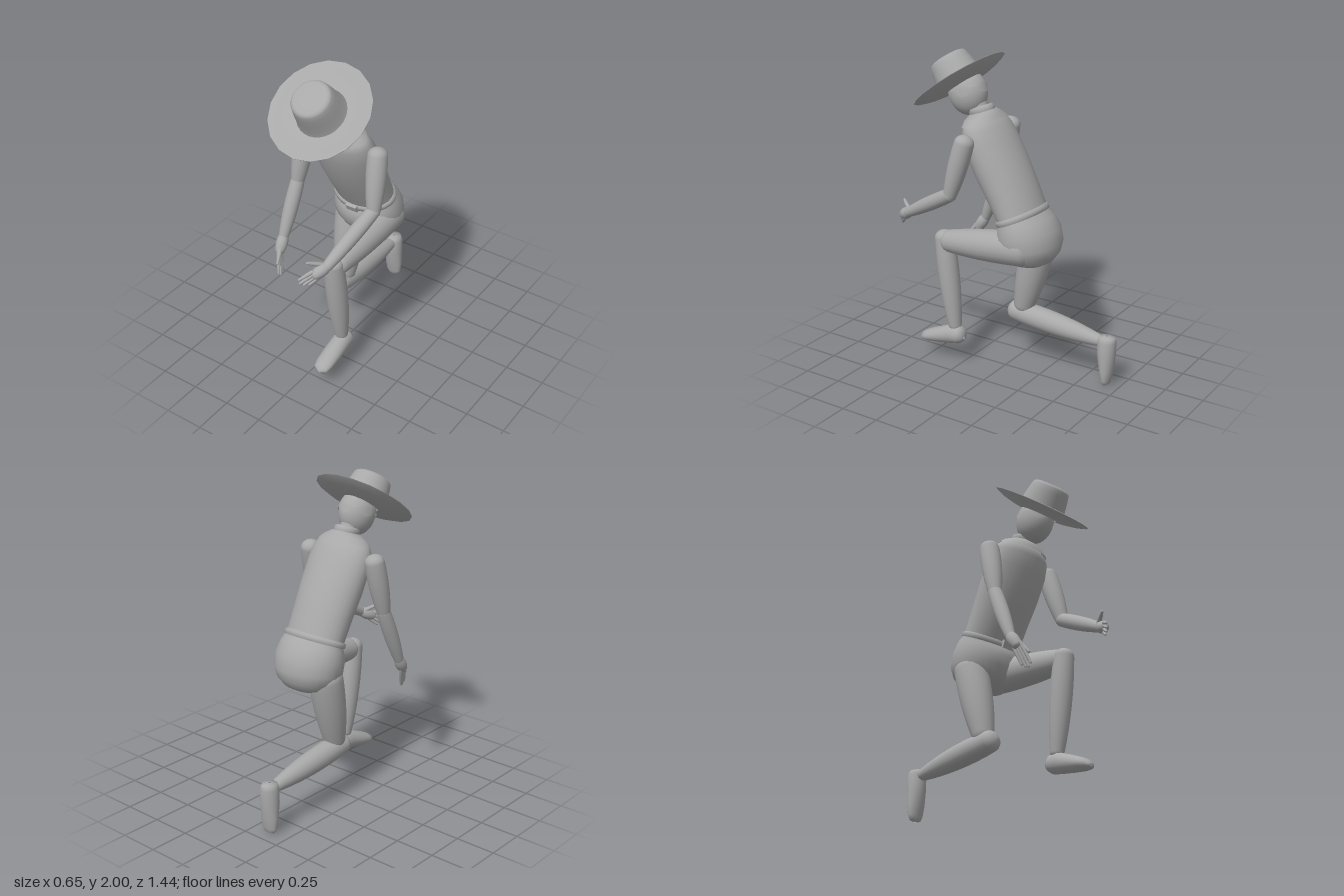
import * as THREE from 'three';

const grey = new THREE.MeshStandardMaterial({ color: 0xa8a8a8, side: THREE.DoubleSide });
grey.name = 'plain grey';
const V = (p) => new THREE.Vector3(...p);

export function createModel() {
  const model = new THREE.Group();

  function add(name, geometry, parent = model) {
    const mesh = new THREE.Mesh(geometry, grey);
    mesh.name = name;
    parent.add(mesh);
    return mesh;
  }

  // Skin over elliptical sections: [front z, front y, back z, back y, half width]
  function loft(name, sections, cx = 0, parent = model, n = 28) {
    const pos = [], index = [];
    for (const [fz, fy, bz, by, rx] of sections) {
      for (let i = 0; i < n; i++) {
        const a = (i / n) * Math.PI * 2, s = Math.sin(a);
        pos.push(cx + Math.cos(a) * rx, (fy + by) / 2 + s * (fy - by) / 2, (fz + bz) / 2 + s * (fz - bz) / 2);
      }
    }
    const A = sections[0], B = sections[sections.length - 1];
    const py = B[1] + B[3] - A[1] - A[3], pz = B[0] + B[2] - A[0] - A[2];
    const flip = py * (A[0] - A[2]) - pz * (A[1] - A[3]) < 0;
    for (let j = 0; j < sections.length - 1; j++) {
      for (let i = 0; i < n; i++) {
        const a = j * n + i, b = j * n + (i + 1) % n, c = a + n, d = b + n;
        if (flip) index.push(a, b, c, b, d, c);
        else index.push(a, c, b, b, c, d);
      }
    }
    const g = new THREE.BufferGeometry();
    g.setAttribute('position', new THREE.Float32BufferAttribute(pos, 3));
    g.setIndex(index);
    g.computeVertexNormals();
    return add(name, g, parent);
  }

  // Rounded, tapering segment from a to b with start, middle and end radius
  function limb(name, a, b, r0, rm, r1, parent = model, sides = 20) {
    const from = V(a), dir = V(b).sub(from), len = dir.length();
    const pts = [];
    for (let i = 0; i <= 5; i++) {
      const t = (i / 5) * Math.PI / 2;
      pts.push(new THREE.Vector2(Math.sin(t) * r0, -Math.cos(t) * r0 * 0.8));
    }
    for (let i = 1; i < 8; i++) {
      const t = i / 8;
      const r = r0 * (1 - t) * (1 - 2 * t) + rm * 4 * t * (1 - t) + r1 * t * (2 * t - 1);
      pts.push(new THREE.Vector2(r, t * len));
    }
    for (let i = 5; i >= 0; i--) {
      const t = (i / 5) * Math.PI / 2;
      pts.push(new THREE.Vector2(Math.sin(t) * r1, len + Math.cos(t) * r1 * 0.8));
    }
    const mesh = add(name, new THREE.LatheGeometry(pts, sides), parent);
    mesh.position.copy(from);
    mesh.quaternion.setFromUnitVectors(new THREE.Vector3(0, 1, 0), dir.normalize());
    return mesh;
  }

  // Torso, leaning forward
  loft('torso', [
    [-0.005, 0.985, -0.245, 1.09, 0.198], [0.085, 1.13, -0.185, 1.235, 0.2],
    [0.17, 1.28, -0.11, 1.38, 0.21], [0.228, 1.42, -0.028, 1.515, 0.214],
    [0.252, 1.51, 0.015, 1.575, 0.203], [0.25, 1.55, 0.045, 1.61, 0.18],
    [0.235, 1.585, 0.095, 1.645, 0.12], [0.19, 1.61, 0.13, 1.645, 0.05],
  ]);
  // Pelvis with a rounded seat
  loft('pelvis', [
    [-0.005, 0.99, -0.245, 1.10, 0.198], [0.01, 0.95, -0.3, 1.05, 0.215],
    [0.02, 0.91, -0.348, 0.98, 0.227], [0.005, 0.85, -0.368, 0.89, 0.226],
    [-0.03, 0.80, -0.355, 0.825, 0.2], [-0.08, 0.765, -0.32, 0.775, 0.155],
    [-0.14, 0.742, -0.275, 0.748, 0.09], [-0.21, 0.735, -0.212, 0.735, 0.001],
  ]);

  // Belt and buckle
  loft('belt', [
    [-0.01, 0.97, -0.25, 1.082, 0.198], [0.012, 0.973, -0.262, 1.085, 0.21],
    [0.018, 0.998, -0.255, 1.108, 0.212], [0.005, 1.008, -0.238, 1.117, 0.198],
  ]);
  const buckle = add('buckle', new THREE.BoxGeometry(0.075, 0.045, 0.02));
  buckle.position.set(0, 0.987, 0.018);
  buckle.rotation.x = 0.45;

  // Neck, collar and neckerchief
  limb('neck', [0, 1.58, 0.15], [0, 1.7, 0.21], 0.06, 0.057, 0.06);
  loft('collar', [
    [0.264, 1.55, 0.035, 1.615, 0.18], [0.258, 1.585, 0.06, 1.642, 0.145],
    [0.238, 1.618, 0.085, 1.668, 0.085], [0.225, 1.61, 0.1, 1.66, 0.068],
  ]);
  loft('neckerchief', [
    [0.23, 1.61, 0.095, 1.655, 0.07], [0.248, 1.622, 0.09, 1.668, 0.078],
    [0.25, 1.645, 0.102, 1.69, 0.076], [0.235, 1.65, 0.12, 1.695, 0.064],
  ]);

  // Head with a wavy-edged cap of hair
  const head = new THREE.Group();
  head.name = 'head';
  head.position.set(0, 1.742, 0.266);
  head.rotation.x = 0.25;
  model.add(head);
  const skull = add('skull', new THREE.SphereGeometry(1, 28, 20), head);
  skull.scale.set(0.107, 0.138, 0.121);
  const hairShape = new THREE.SphereGeometry(1, 36, 12, 0, Math.PI * 2, 0, 1.55);
  const hp = hairShape.attributes.position;
  for (let i = 0; i < hp.count; i++) {
    if (hp.getY(i) < 0.15) hp.setY(i, hp.getY(i) + 0.09 * Math.sin(5 * Math.atan2(hp.getZ(i), hp.getX(i))));
  }
  hairShape.computeVertexNormals();
  add('hair', hairShape, head).scale.set(0.112, 0.143, 0.126);

  // Wide hat tipped over the face
  const hat = new THREE.Group();
  hat.name = 'hat';
  hat.position.set(0, 1.816, 0.33);
  hat.rotation.x = 0.63;
  model.add(hat);
  const profile = (list) => list.map(([r, y]) => new THREE.Vector2(r, y));
  add('brim', new THREE.LatheGeometry(profile([
    [0.11, -0.042], [0.18, -0.038], [0.25, -0.024], [0.312, -0.002], [0.312, 0.003],
    [0.25, -0.013], [0.18, -0.027], [0.11, -0.03],
  ]), 18), hat);
  add('crown', new THREE.LatheGeometry(profile([
    [0.153, -0.03], [0.144, 0.0], [0.136, 0.05], [0.127, 0.1], [0.12, 0.13],
    [0.112, 0.142], [0.098, 0.149], [0.05, 0.153], [0, 0.154],
  ]), 28), hat);

  // Arms: one reaches forward, the other hangs
  const arms = [
    { side: 'left', shoulder: [0.252, 1.51, 0.125], elbow: [0.284, 1.185, 0.21], wrist: [0.215, 0.985, 0.575],
      palm: [0.178, 0.95, 0.64], thumb: [0.14, 1.03, 0.665], thumbBase: [0.19, 0.995, 0.59],
      tips: [[0.115, 0.93, 0.715], [0.12, 0.905, 0.712], [0.135, 0.89, 0.695], [0.155, 0.885, 0.67]],
      spread: [0.008, -0.014, -0.008] },
    { side: 'right', shoulder: [-0.252, 1.51, 0.125], elbow: [-0.272, 1.185, 0.195], wrist: [-0.285, 0.85, 0.335],
      palm: [-0.278, 0.775, 0.385], thumb: [-0.25, 0.72, 0.452], thumbBase: [-0.272, 0.81, 0.38],
      tips: [[-0.24, 0.655, 0.455], [-0.238, 0.638, 0.438], [-0.245, 0.64, 0.42], [-0.255, 0.655, 0.4]],
      spread: [-0.003, -0.006, -0.015] },
  ];
  for (const arm of arms) {
    const group = new THREE.Group();
    group.name = arm.side + 'Arm';
    model.add(group);
    limb('upperArm', arm.shoulder, arm.elbow, 0.06, 0.06, 0.041, group);
    limb('forearm', arm.elbow, arm.wrist, 0.042, 0.045, 0.031, group);
    limb('palm', arm.wrist, arm.palm, 0.029, 0.037, 0.031, group);
    limb('thumb', arm.thumbBase, arm.thumb, 0.014, 0.013, 0.008, group, 10);
    arm.tips.forEach((tip, i) => {
      const base = arm.palm.map((v, k) => v + arm.spread[k] * (i - 1.5));
      limb('finger', base, tip, 0.012, 0.011, 0.007, group, 10);
    });
  }

  // Left leg: knee raised, foot in front
  const leftLeg = new THREE.Group();
  leftLeg.name = 'leftLeg';
  model.add(leftLeg);
  limb('thigh', [0.128, 0.875, -0.2], [0.12, 0.815, 0.33], 0.103, 0.098, 0.072, leftLeg);
  limb('shin', [0.116, 0.83, 0.377], [0.118, 0.25, 0.305], 0.061, 0.066, 0.042, leftLeg);
  loft('foot', [
    [0.235, 0.185, 0.234, 0.165, 0.005], [0.24, 0.225, 0.24, 0.15, 0.04], [0.265, 0.247, 0.265, 0.133, 0.055],
    [0.325, 0.248, 0.325, 0.12, 0.058], [0.42, 0.21, 0.42, 0.105, 0.06], [0.5, 0.175, 0.5, 0.095, 0.057],
    [0.54, 0.153, 0.54, 0.095, 0.045], [0.555, 0.125, 0.555, 0.11, 0.01],
  ], 0.122, leftLeg);

  // Right leg: kneeling, shin trailing behind
  const rightLeg = new THREE.Group();
  rightLeg.name = 'rightLeg';
  model.add(rightLeg);
  limb('thigh', [-0.125, 0.83, -0.165], [-0.112, 0.4, -0.07], 0.104, 0.098, 0.068, rightLeg);
  limb('shin', [-0.112, 0.345, -0.01], [-0.118, 0.284, -0.6], 0.066, 0.07, 0.038, rightLeg);
  loft('foot', [
    [-0.65, 0.325, -0.665, 0.326, 0.01], [-0.607, 0.318, -0.708, 0.32, 0.042], [-0.598, 0.29, -0.717, 0.29, 0.056],
    [-0.6, 0.2, -0.714, 0.2, 0.058], [-0.618, 0.1, -0.703, 0.1, 0.059], [-0.633, 0.035, -0.69, 0.035, 0.052],
    [-0.642, 0.008, -0.682, 0.008, 0.038], [-0.655, 0, -0.668, 0, 0.01],
  ], -0.118, rightLeg);

  return model;
}
